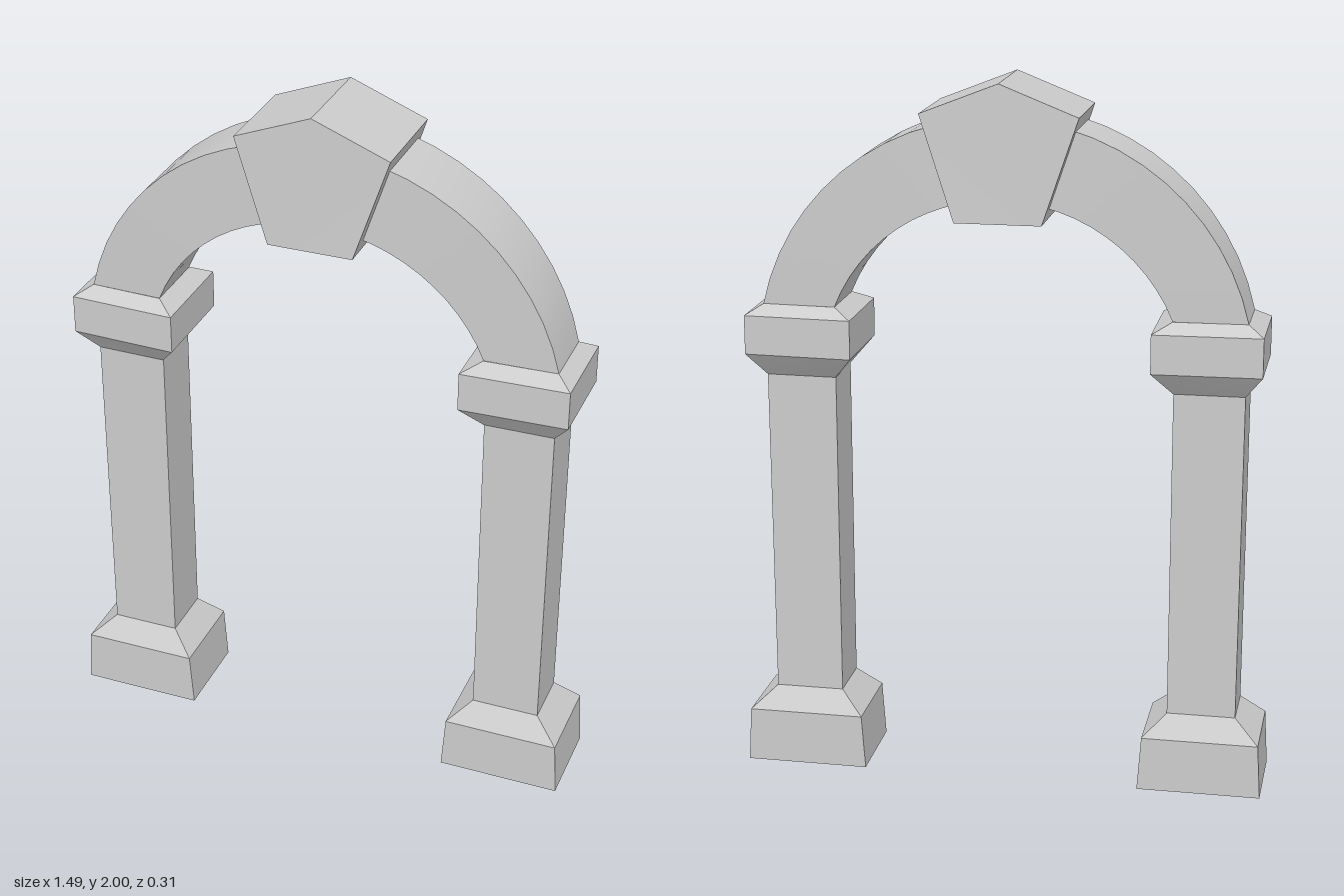
import * as THREE from 'three';
import { toCreasedNormals } from 'three/addons/utils/BufferGeometryUtils.js';

const material = new THREE.MeshStandardMaterial({ color: 0xcccccc, side: THREE.DoubleSide });

// Skin a series of four-cornered rings; side = -1 mirrors the result in x.
function loft(rings, side) {
  const positions = rings.flat().flatMap(([x, y, z]) => [x * side, y, z]);
  const index = [];
  for (let r = 0; r < rings.length - 1; r++) {
    for (let i = 0; i < 4; i++) {
      const a = r * 4 + i, b = r * 4 + (i + 1) % 4;
      const c = b + 4, d = a + 4;
      if (side > 0) index.push(a, b, c, a, c, d);
      else index.push(a, c, b, a, d, c);
    }
  }
  const geometry = new THREE.BufferGeometry();
  geometry.setAttribute('position', new THREE.Float32BufferAttribute(positions, 3));
  geometry.setIndex(index);
  return toCreasedNormals(geometry, 0.4);
}

// Ring from an inner point, an outer point and the half depth at each.
const ring = ([xi, yi], [xo, yo], zi, zo) => [
  [xi, yi, zi], [xo, yo, zo], [xo, yo, -zo], [xi, yi, -zi],
];

function addMesh(parent, name, geometry) {
  const mesh = new THREE.Mesh(geometry, material);
  mesh.name = name;
  parent.add(mesh);
}

// Levels: y, inner x, outer x, inner half depth, outer half depth.
const pillarParts = {
  base: [
    [0, 0.397, 0.747, 0.13, 0.13],
    [0.157, 0.408, 0.738, 0.13, 0.13],
    [0.22, 0.474, 0.668, 0.083, 0.083],
  ],
  shaft: [
    [0.22, 0.474, 0.668, 0.083, 0.083],
    [1.16, 0.474, 0.671, 0.083, 0.083],
  ],
  capital: [
    [1.16, 0.474, 0.671, 0.086, 0.083],
    [1.228, 0.417, 0.72, 0.145, 0.134],
    [1.338, 0.417, 0.72, 0.145, 0.134],
    [1.365, 0.47, 0.675, 0.1, 0.092],
  ],
};

// Half of the arch, rising from the capital into the keystone.
function archRings() {
  const steps = 10, rings = [];
  const point = (cy, radius, angle) => [radius * Math.cos(angle), cy + radius * Math.sin(angle)];
  for (let i = 0; i <= steps; i++) {
    const t = i / steps;
    const inner = point(1.175, 0.507, THREE.MathUtils.lerp(0.384, 1.36, t));
    const outer = point(1.2125, 0.692, THREE.MathUtils.lerp(0.222, 1.31, t));
    rings.push(ring(inner, outer, 0.099 + 0.014 * t, 0.092 + 0.016 * t));
  }
  return rings;
}

// Five-sided wedge, slightly deeper towards its lower edge.
function keystoneGeometry() {
  const outline = [[-0.12, 1.625], [0.12, 1.625], [0.217, 1.915], [0, 2], [-0.217, 1.915]];
  const shape = new THREE.Shape(outline.map(([x, y]) => new THREE.Vector2(x, y)));
  const geometry = new THREE.ExtrudeGeometry(shape, { depth: 2, bevelEnabled: false });
  const p = geometry.attributes.position;
  for (let i = 0; i < p.count; i++) {
    const halfDepth = p.getY(i) < 1.7 ? 0.156 : 0.142;
    p.setZ(i, (p.getZ(i) - 1) * halfDepth);
  }
  return toCreasedNormals(geometry, 0.2);
}

export function createModel() {
  const model = new THREE.Group();
  model.name = 'archway';

  for (const [label, side] of [['left', 1], ['right', -1]]) {
    const pillar = new THREE.Group();
    pillar.name = `${label}Pillar`;
    for (const [name, levels] of Object.entries(pillarParts)) {
      const rings = levels.map(([y, xi, xo, zi, zo]) => ring([xi, y], [xo, y], zi, zo));
      addMesh(pillar, name, loft(rings, side));
    }
    model.add(pillar);
    addMesh(model, `${label}Arch`, loft(archRings(), side));
  }

  addMesh(model, 'keystone', keystoneGeometry());
  return model;
}
